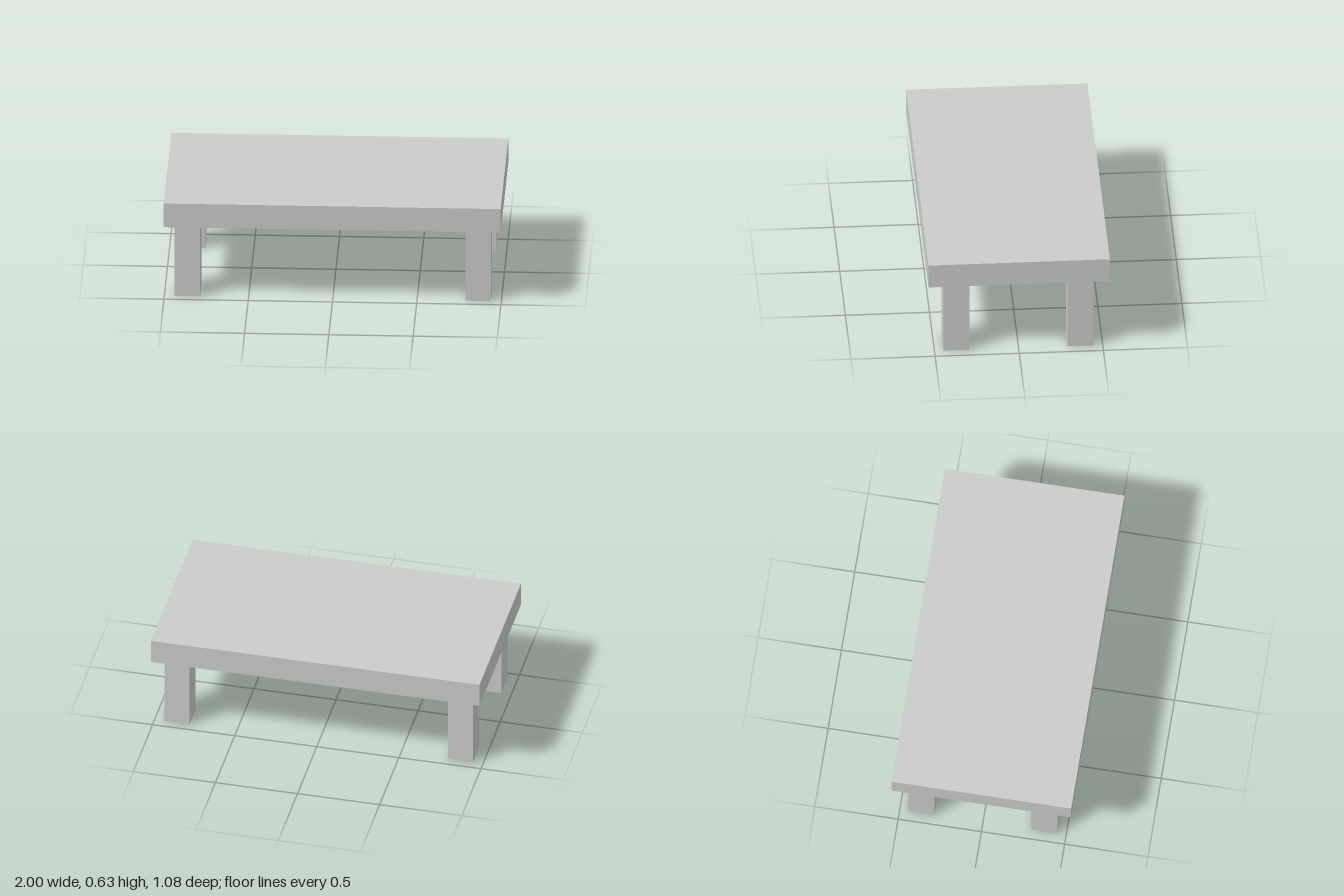
import * as THREE from 'three';

const LEG_HEIGHT = 0.48;
const TOP_THICKNESS = 0.152;

export function createModel() {
  const table = new THREE.Group();
  table.name = 'table';
  const material = new THREE.MeshStandardMaterial({ color: 0xcccccc, flatShading: true });

  // Box standing on the given base height
  const addBox = (name, [w, h, d], [x, base, z]) => {
    const mesh = new THREE.Mesh(new THREE.BoxGeometry(w, h, d), material);
    mesh.name = name;
    mesh.position.set(x, base + h / 2, z);
    table.add(mesh);
  };

  // Thick slab top
  addBox('tableTop', [2, TOP_THICKNESS, 1.078], [0, LEG_HEIGHT, 0]);

  // Four square legs, set in from the corners
  for (const [side, x] of [['Left', 0.863], ['Right', -0.863]]) {
    for (const [end, z] of [['front', 0.369], ['back', -0.369]]) {
      addBox(`${end}${side}Leg`, [0.152, LEG_HEIGHT, 0.155], [x, 0, z]);
    }
  }

  return table;
}
